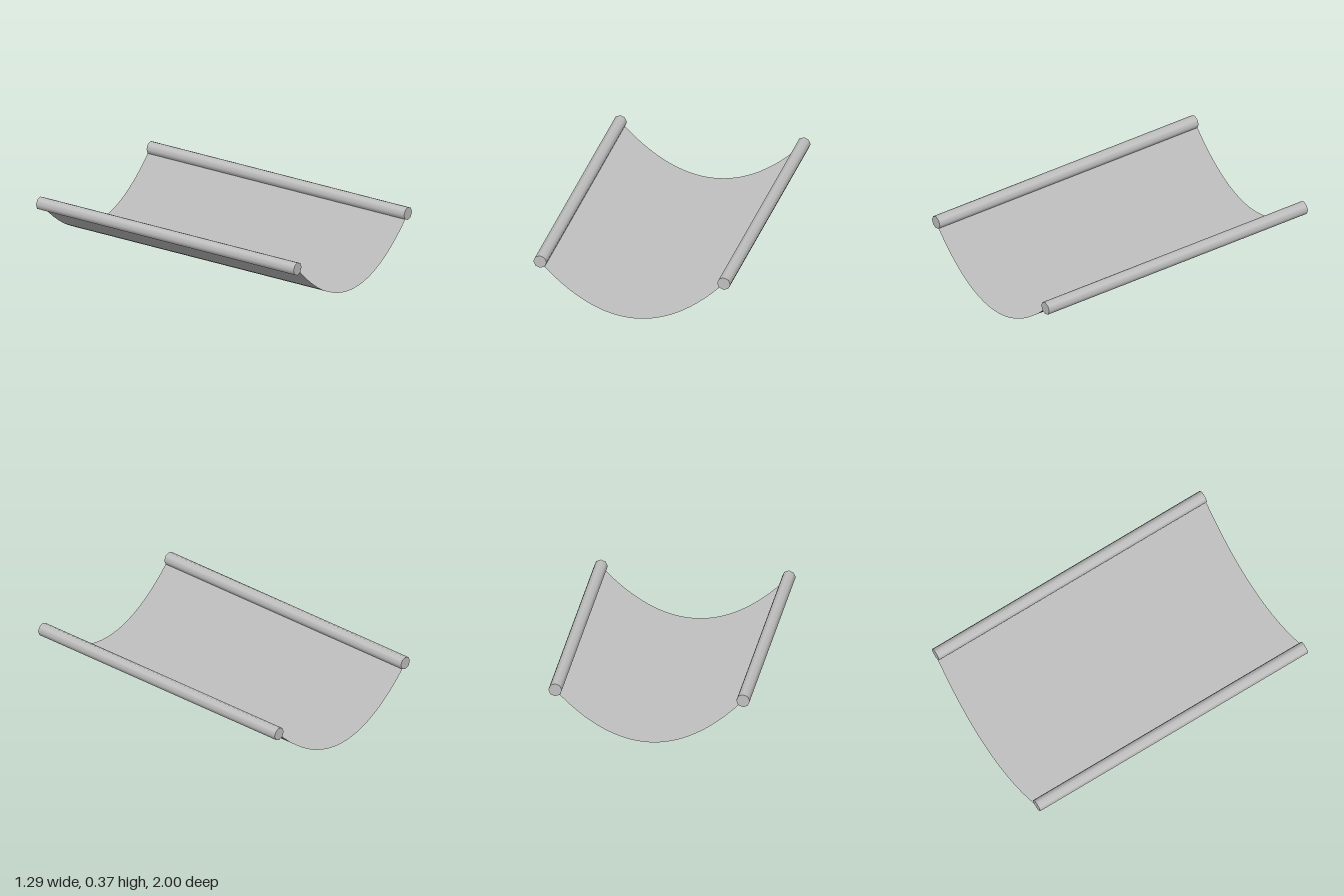
import * as THREE from 'three';

export function createModel() {
  const group = new THREE.Group();
  const grey = new THREE.MeshStandardMaterial({ color: 0xc0c0c0, side: THREE.DoubleSide });
  grey.name = 'light grey';

  const halfWidth = 0.6, railY = 0.322, railRadius = 0.043, length = 2;

  // Cloth slung between the rails: a thin sheet sagging along a parabola,
  // keeping the evenly upward normals of the flat sheet
  const sheet = new THREE.PlaneGeometry(halfWidth * 2, length, 32, 1).rotateX(-Math.PI / 2);
  const pos = sheet.attributes.position;
  for (let i = 0; i < pos.count; i++) {
    pos.setY(i, railY * (pos.getX(i) / halfWidth) ** 2);
  }
  const sling = new THREE.Mesh(sheet, grey);
  sling.name = 'sling';
  group.add(sling);

  // Eight-sided rails along both edges
  const railGeometry = new THREE.CylinderGeometry(railRadius, railRadius, length, 8).rotateX(Math.PI / 2);
  for (const side of [-1, 1]) {
    const rail = new THREE.Mesh(railGeometry, grey);
    rail.name = side > 0 ? 'leftRail' : 'rightRail';
    rail.position.set(side * halfWidth, railY, 0);
    group.add(rail);
  }
  return group;
}
